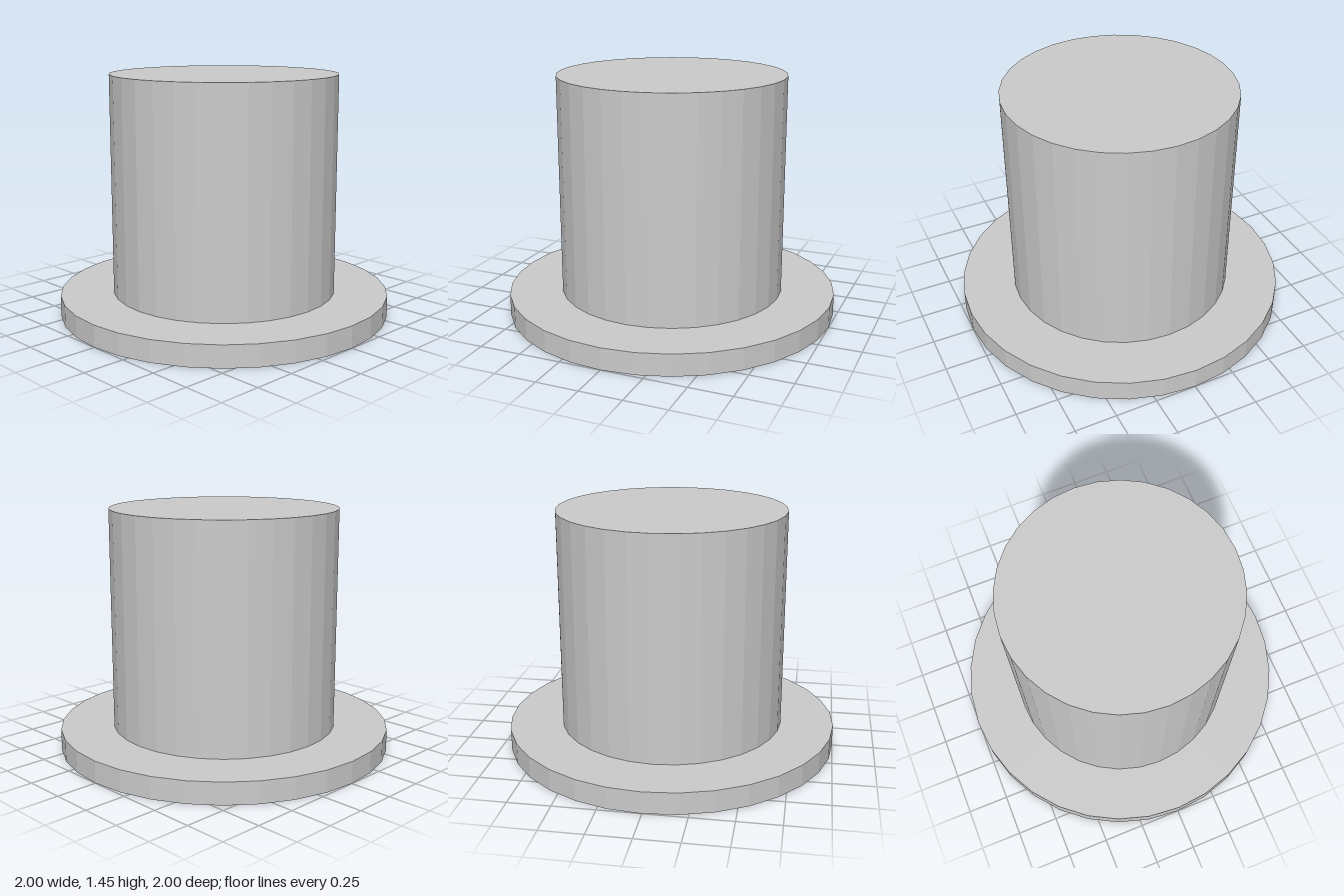
import * as THREE from 'three';

const SIDES = 32;

export function createModel() {
  const group = new THREE.Group();
  group.name = 'topHat';
  const material = new THREE.MeshStandardMaterial({ color: 0xcccccc, flatShading: true });

  // Upright faceted disc standing between two heights
  const addDisc = (name, radius, bottom, top) => {
    const geometry = new THREE.CylinderGeometry(radius, radius, top - bottom, SIDES);
    const mesh = new THREE.Mesh(geometry, material);
    mesh.name = name;
    mesh.position.y = (bottom + top) / 2;
    group.add(mesh);
  };

  addDisc('brim', 1, 0, 0.13);
  addDisc('crown', 0.68, 0.13, 1.45);

  return group;
}
